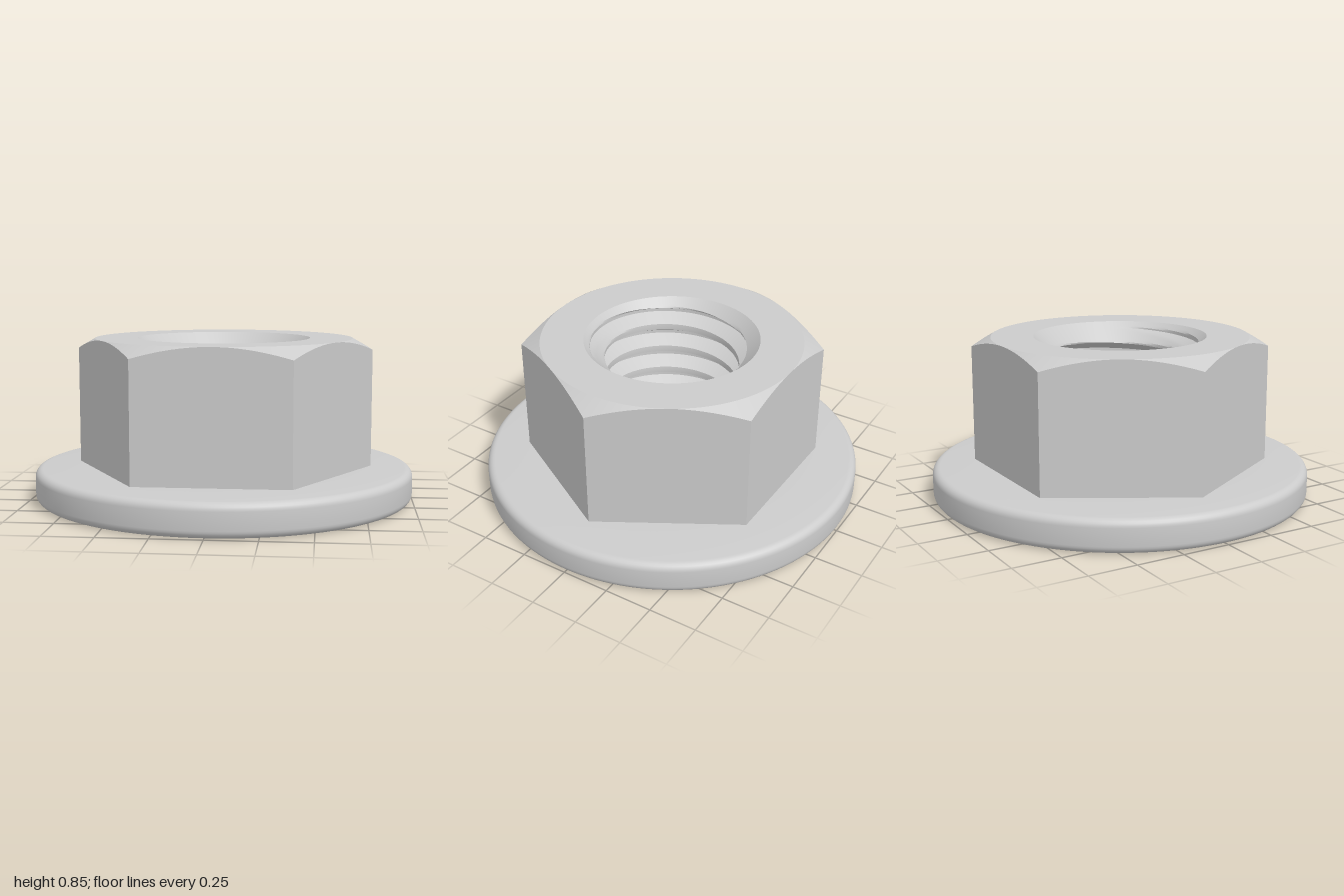
import * as THREE from 'three';
import { toCreasedNormals } from 'three/addons/utils/BufferGeometryUtils.js';

const H = 0.847;          // total height
const FLANGE_H = 0.17;
const APOTHEM = 0.678;    // half the width across flats
const MOUTH = 0.455;      // radius of the bore at both faces
const MINOR = 0.35, MAJOR = 0.424, PITCH = 0.1356;
const SEGMENTS = 144;

const material = new THREE.MeshStandardMaterial({ color: 0xcccccc });

// Sweeps a profile of [radius, y] points, which may vary with angle, around the y axis
function sweep(name, profileAt) {
  const columns = [];
  for (let i = 0; i <= SEGMENTS; i++) {
    const a = ((i % SEGMENTS) / SEGMENTS) * Math.PI * 2;
    const turn = (i / SEGMENTS) * Math.PI * 2;
    columns.push(profileAt(turn).map(([r, y]) =>
      new THREE.Vector3(r * Math.cos(a), y, -r * Math.sin(a)).multiplyScalar(100)));
  }
  const positions = [];
  const triangle = new THREE.Triangle();
  const add = (a, b, c) => {
    if (triangle.set(a, b, c).getArea() < 1e-5) return;
    for (const p of [a, b, c]) positions.push(p.x, p.y, p.z);
  };
  for (let i = 0; i < SEGMENTS; i++) {
    const p = columns[i], q = columns[i + 1];
    for (let j = 0; j < p.length - 1; j++) {
      add(p[j], q[j], q[j + 1]);
      add(p[j], q[j + 1], p[j + 1]);
    }
  }
  let geometry = new THREE.BufferGeometry();
  geometry.setAttribute('position', new THREE.Float32BufferAttribute(positions, 3));
  // Creases are found at a large scale so that fine detail is kept apart
  geometry = toCreasedNormals(geometry, 0.4);
  geometry.scale(0.01, 0.01, 0.01);
  const mesh = new THREE.Mesh(geometry, material);
  mesh.name = name;
  return mesh;
}

// Round flange with filleted rim
function flangeProfile() {
  const fillet = 0.04, steps = 6;
  const points = [[MOUTH, 0]];
  for (const [y, start] of [[fillet, -Math.PI / 2], [FLANGE_H - fillet, 0]]) {
    for (let k = 0; k <= steps; k++) {
      const a = start + (k / steps) * Math.PI / 2;
      points.push([1 - fillet + fillet * Math.cos(a), y + fillet * Math.sin(a)]);
    }
  }
  points.push([APOTHEM - 0.03, FLANGE_H]);
  return points;
}

// Hexagon with corners on the x axis, its top corners cut by a 30 degree cone
function hexProfile(turn) {
  const sector = Math.PI / 3;
  const r = APOTHEM / Math.cos((turn % sector) - sector / 2);
  const shoulder = H - (r - APOTHEM) * Math.tan(Math.PI / 6);
  return [[r, FLANGE_H], [r, shoulder], [APOTHEM, H], [MOUTH, H]];
}

// Bore radius: 60 degree thread groove, opened by 45 degree countersinks
function boreRadius(y, grooveY) {
  const t = (y - grooveY) / PITCH;
  const offset = Math.abs(t - Math.round(t)) * PITCH;
  const groove = MAJOR - Math.max(0, offset - PITCH / 16) * Math.sqrt(3);
  const countersink = MOUTH - Math.min(y, H - y);
  return Math.max(MINOR, groove, countersink);
}

// Samples follow the helix, so the edges of the thread stay sharp
function boreProfile(turn) {
  const grooveY = 0.7 + (PITCH * turn) / (Math.PI * 2);
  const perPitch = 16, points = [];
  for (let k = 2 * perPitch; k >= -7 * perPitch; k--) {
    const y = THREE.MathUtils.clamp(grooveY + (k / perPitch) * PITCH, 0, H);
    points.push([boreRadius(y, grooveY), y]);
  }
  return points;
}

export function createModel() {
  const group = new THREE.Group();
  group.name = 'flangeNut';
  group.add(
    sweep('flange', flangeProfile),
    sweep('hexBody', hexProfile),
    sweep('threadedBore', boreProfile)
  );
  return group;
}
